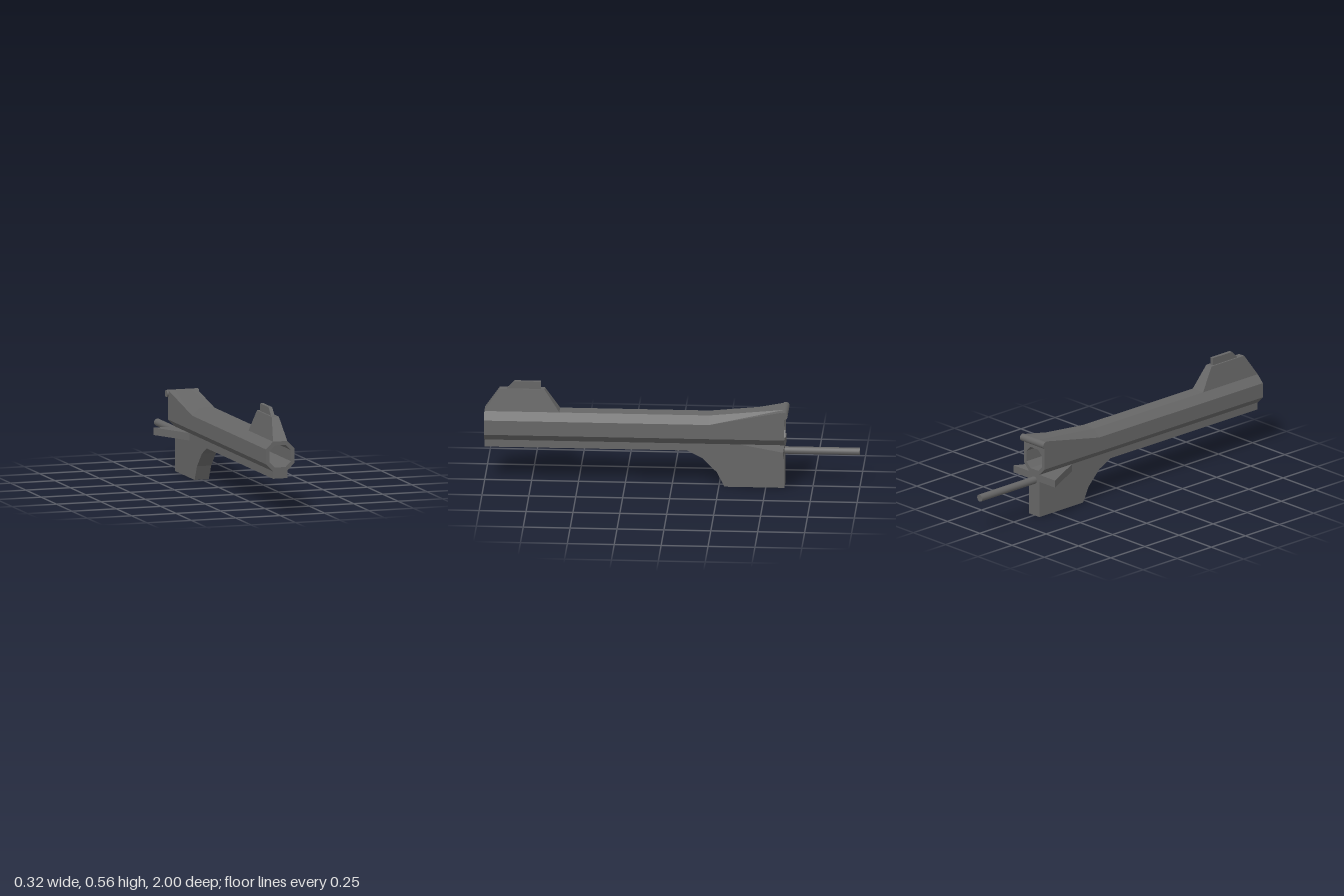
import * as THREE from 'three';
import { ConvexGeometry } from 'three/addons/geometries/ConvexGeometry.js';

const steel = new THREE.MeshStandardMaterial({ color: 0x666666 });
steel.name = 'dark steel';

function part(name, geometry) {
  const mesh = new THREE.Mesh(geometry, steel);
  mesh.name = name;
  return mesh;
}

// Extrudes a [z, y] side profile to a width centred on x = 0.
function sidePlate(points, width) {
  const shape = new THREE.Shape(points.map(([z, y]) => new THREE.Vector2(z, y)));
  return new THREE.ExtrudeGeometry(shape, { depth: width, bevelEnabled: false })
    .rotateY(-Math.PI / 2)
    .translate(width / 2, 0, 0);
}

// Eight-sided ring, mirrored from four right-hand points running upward.
function ring(half, z) {
  const left = half.map(([x, y]) => [-x, y]).reverse();
  return [...half, ...left].map(([x, y]) => [x, y, z]);
}

// Outer skin, rear face, bore and muzzle face as one closed strip of rings.
function barrelGeometry() {
  const outer = [[0.04, 0.24], [0.08, 0.28], [0.08, 0.36], [0.04, 0.4]];
  const rear = [[0.04, 0.24], [0.08, 0.28], [0.08, 0.44], [0.04, 0.44]];
  const bore = [[0.03, 0.26], [0.06, 0.29], [0.06, 0.35], [0.03, 0.38]];
  const rings = [ring(outer, 1), ring(outer, -0.2), ring(rear, -0.6), ring(bore, -0.6), ring(bore, 1)];
  const positions = [];
  rings.forEach((r, k) => {
    const next = rings[(k + 1) % rings.length];
    for (let j = 0; j < 8; j++) {
      const a = r[j], b = r[(j + 1) % 8], c = next[(j + 1) % 8], d = next[j];
      // The diagonal flips on the left so the flare is symmetrical.
      const corners = j < 4 ? [a, d, c, a, c, b] : [a, d, b, b, d, c];
      positions.push(...corners.flat());
    }
  });
  const geometry = new THREE.BufferGeometry();
  geometry.setAttribute('position', new THREE.Float32BufferAttribute(positions, 3));
  geometry.computeVertexNormals();
  return geometry;
}

export function createModel() {
  const model = new THREE.Group();
  model.name = 'barrelAssembly';

  model.add(part('barrel', barrelGeometry()));

  // Lower rib with the deep block at the back
  model.add(part('lowerRibAndBlock', sidePlate([
    [1, 0.24], [1, 0.2], [-0.08, 0.2], [-0.16, 0.16], [-0.24, 0.08],
    [-0.28, 0], [-0.6, 0], [-0.6, 0.24],
  ], 0.08)));

  // Tapered front sight and its blade
  const corners = [];
  for (const s of [-1, 1]) {
    for (const [x, y, z] of [[0.04, 0.4, 1], [0.04, 0.4, 0.6], [0.02, 0.52, 0.92], [0.02, 0.52, 0.68]]) {
      corners.push(new THREE.Vector3(s * x, y, z));
    }
  }
  model.add(part('sightBase', new ConvexGeometry(corners)));
  model.add(part('sightBlade', sidePlate([[0.88, 0.52], [0.84, 0.56], [0.7, 0.56], [0.7, 0.52]], 0.02)));

  // Triangular side fins
  for (const s of [-1, 1]) {
    const shape = new THREE.Shape([
      new THREE.Vector2(s * 0.04, -0.36),
      new THREE.Vector2(s * 0.16, -0.6),
      new THREE.Vector2(s * 0.04, -0.6),
    ]);
    const fin = new THREE.ExtrudeGeometry(shape, { depth: 0.04, bevelEnabled: false })
      .rotateX(Math.PI / 2)
      .translate(0, 0.24, 0);
    model.add(part(s > 0 ? 'leftFin' : 'rightFin', fin));
  }

  // Cross pin at the top rear edge
  const pin = part('hingePin', new THREE.CylinderGeometry(0.02, 0.02, 0.18, 16).rotateZ(Math.PI / 2));
  pin.position.set(0, 0.42, -0.6);
  model.add(pin);

  // Rod reaching out of the back
  const rod = part('rearRod', new THREE.CylinderGeometry(0.02, 0.02, 0.4, 16).rotateX(Math.PI / 2));
  rod.position.set(0, 0.2, -0.8);
  model.add(rod);

  return model;
}
